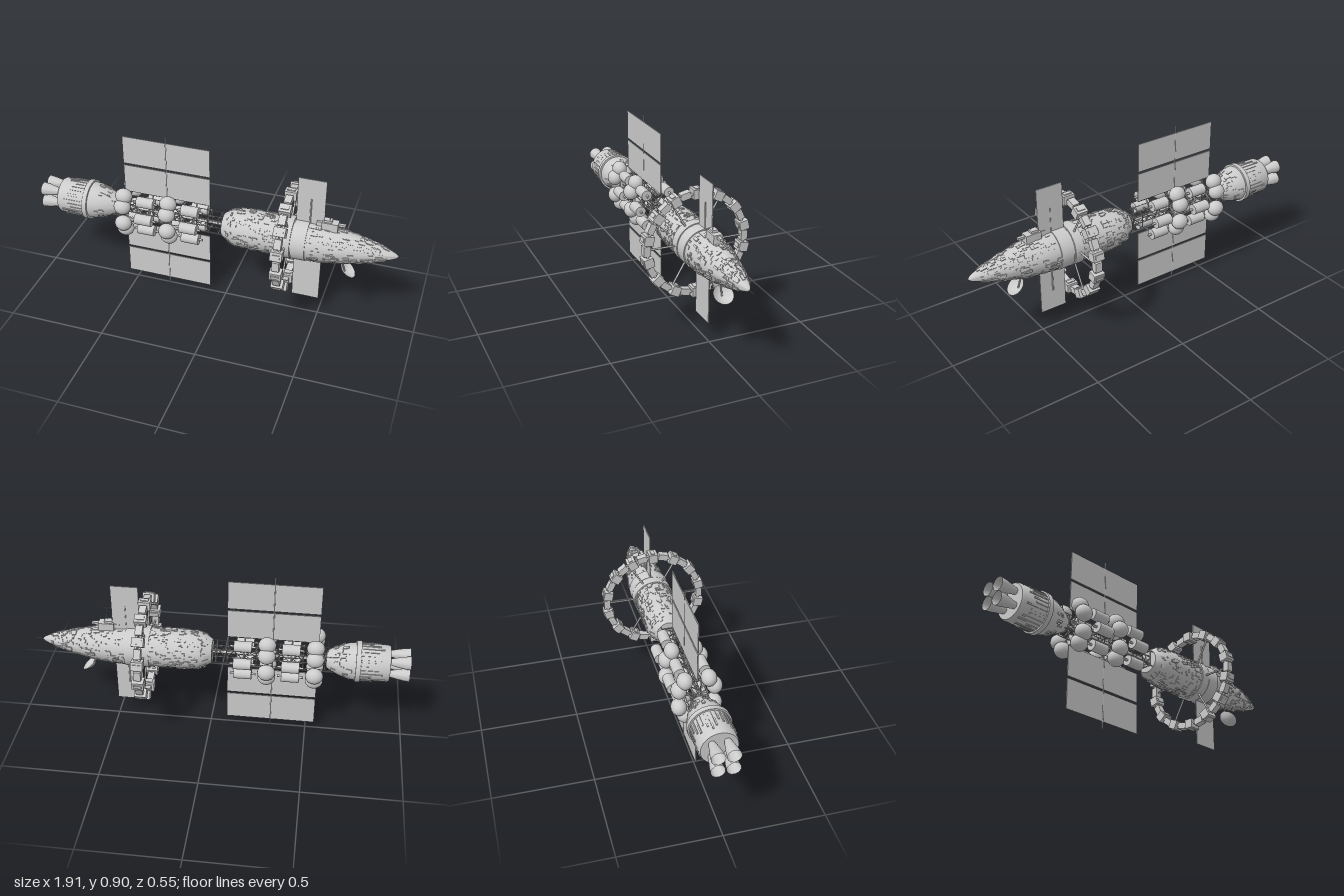
import * as THREE from 'three';
import { mergeGeometries, toCreasedNormals } from 'three/addons/utils/BufferGeometryUtils.js';

const AXIS = 0.45; // height of the ship's long axis
const TAU = Math.PI * 2;

export function createModel() {
  const grey = new THREE.MeshStandardMaterial({ color: 0xcccccc });
  grey.name = 'hull grey';
  const greyOpen = new THREE.MeshStandardMaterial({ color: 0xcccccc, side: THREE.DoubleSide });
  greyOpen.name = 'hull grey open';

  const root = new THREE.Group();
  root.name = 'spaceship';
  const ship = new THREE.Group();
  ship.name = 'shipOnAxis';
  ship.position.y = AXIS;
  root.add(ship);

  let seed = 7;
  const rand = () => (seed = (seed * 16807) % 2147483647) / 2147483647;

  const add = (name, geo, mat = grey) => {
    const m = new THREE.Mesh(geo, mat);
    m.name = name;
    ship.add(m);
    return m;
  };
  const box = (w, h, d, x, y, z) => new THREE.BoxGeometry(w, h, d).translate(x, y, z);
  const rod = (a, b, r, sides = 6) => {
    const p = new THREE.Vector3(...a), q = new THREE.Vector3(...b), d = q.clone().sub(p);
    const g = new THREE.CylinderGeometry(r, r, d.length(), sides);
    g.applyQuaternion(new THREE.Quaternion().setFromUnitVectors(new THREE.Vector3(0, 1, 0), d.normalize()));
    return g.translate(...p.add(q).multiplyScalar(0.5).toArray());
  };
  // profile of [x, radius] turned about the ship's axis, from tail to nose
  const turned = (profile, sides = 32) => toCreasedNormals(
    new THREE.LatheGeometry(profile.map(([x, r]) => new THREE.Vector2(r, x)), sides).rotateZ(-Math.PI / 2), 0.5);
  const radiusAt = (profile, x) => {
    const i = Math.max(1, profile.findIndex((p) => p[0] > x));
    const [x0, r0] = profile[i - 1], [x1, r1] = profile[i];
    return { r: r0 + (r1 - r0) * (x - x0) / (x1 - x0), slope: Math.atan2(r1 - r0, x1 - x0) };
  };
  // small plates scattered over a turned surface
  const plating = (profile, count, x0, x1) => {
    const list = [];
    for (let i = 0; i < count; i++) {
      const x = x0 + (x1 - x0) * rand();
      const { r, slope } = radiusAt(profile, x);
      const long = 0.008 + 0.026 * rand();
      const wide = Math.min(0.005 + 0.014 * rand(), r * 0.4);
      list.push(new THREE.BoxGeometry(long, 0.004 + 0.006 * rand(), wide)
        .rotateZ(slope).translate(x, r, 0).rotateX(rand() * TAU));
    }
    return mergeGeometries(list);
  };

  // forward hull
  const hull = [[-0.01, 0], [-0.01, 0.06], [0.03, 0.085], [0.07, 0.098], [0.15, 0.101], [0.42, 0.101],
    [0.5, 0.097], [0.6, 0.084], [0.7, 0.064], [0.78, 0.043], [0.84, 0.023], [0.865, 0.012], [0.878, 0]];
  add('forwardHull', turned(hull, 40));
  add('hullPlatingAft', plating(hull, 300, 0.02, 0.35));
  add('hullPlatingFore', plating(hull, 340, 0.44, 0.82));
  add('hullBand', turned([[0.36, 0.09], [0.36, 0.106], [0.43, 0.106], [0.43, 0.09]], 40));
  add('hubBand', turned([[0.305, 0.09], [0.305, 0.108], [0.355, 0.108], [0.355, 0.09]], 40));
  add('noseSpike', rod([0.86, 0, 0], [0.915, 0, 0], 0.0015));

  // habitat ring with alternating modules
  const modules = [], links = [];
  for (let i = 0; i < 28; i++) {
    const a = (i / 28) * TAU;
    const g = i % 2 ? new THREE.BoxGeometry(0.036, 0.033, 0.05) : new THREE.BoxGeometry(0.06, 0.047, 0.046);
    modules.push(g.translate(0.33, 0.252, 0).rotateX(a));
    if (i % 2 === 0) modules.push(box(0.04, 0.056, 0.02, 0.33, 0.252, 0).rotateX(a));
  }
  add('ringModules', mergeGeometries(modules));
  for (const x of [0.32, 0.34])
    links.push(new THREE.TorusGeometry(0.25, 0.008, 6, 56).rotateY(Math.PI / 2).translate(x, 0, 0));
  add('ringTube', mergeGeometries(links));
  const spokes = [];
  for (let i = 0; i < 6; i++)
    spokes.push(rod([0.33, 0.09, 0], [0.33, 0.25, 0], 0.005, 8).rotateX(Math.PI / 6 + i * TAU / 6));
  add('ringSpokes', mergeGeometries(spokes));

  // radiators above and below the hull
  for (const s of [1, -1]) {
    add('radiator', box(0.14, 0.27, 0.005, 0.43, s * 0.215, -s * 0.005));
    add('radiatorMast', rod([0.43, s * 0.09, -s * 0.002], [0.43, s * 0.24, -s * 0.002], 0.004));
  }

  // sensor house and whip aerials
  add('sensorHouse', mergeGeometries([
    box(0.08, 0.045, 0.046, 0.532, 0.11, 0), box(0.04, 0.012, 0.03, 0.52, 0.138, 0),
    box(0.035, 0.012, 0.016, 0.59, 0.122, 0), box(0.03, 0.03, 0.02, 0.48, 0.11, 0)]));
  add('whipAerials', mergeGeometries([
    rod([0.43, 0.1, -0.007], [0.43, 0.235, -0.007], 0.002), rod([0.53, 0.1, 0.008], [0.53, 0.21, 0.008], 0.0015),
    rod([0.5, 0.1, -0.008], [0.5, 0.18, -0.008], 0.0015)]));

  // dish under the nose, opening forward and up
  const bowl = [0, 0.25, 0.5, 0.75, 1].map((t) => new THREE.Vector2(0.05 * t, 0.024 * (t * t - 1)));
  const dish = add('dish', new THREE.LatheGeometry(bowl, 28), greyOpen);
  dish.position.set(0.637, -0.132, 0);
  dish.rotation.z = -0.71;
  add('dishStrut', rod([0.6, -0.075, 0], [0.622, -0.148, 0], 0.004));

  // lattice truss
  const truss = [];
  const corners = [[1, 1], [1, -1], [-1, -1], [-1, 1]];
  corners.forEach(([y, z], k) => {
    const [y2, z2] = corners[(k + 1) % 4];
    truss.push(rod([-0.61, y * 0.02, z * 0.02], [0, y * 0.02, z * 0.02], 0.003, 5));
    truss.push(rod([-0.61, y * 0.04, z * 0.04], [0, y * 0.04, z * 0.04], 0.002, 5));
    for (let i = 0; i < 15; i++) {
      const x = -0.6 + i * 0.04, f = i % 2 ? -1 : 1;
      const a = [y * 0.02, z * 0.02], b = [y2 * 0.02, z2 * 0.02];
      truss.push(rod([x, ...(f > 0 ? a : b)], [x + 0.04, ...(f > 0 ? b : a)], 0.002, 4));
    }
    for (const x of [-0.58, -0.47, -0.35, -0.235, -0.085, -0.03])
      truss.push(rod([x, y * 0.04, z * 0.04], [x, y2 * 0.04, z2 * 0.04], 0.003, 5));
  });
  truss.push(rod([-0.61, 0, 0], [0, 0, 0], 0.01, 8));
  add('truss', mergeGeometries(truss));

  // round and cylindrical tanks clustered about the truss
  const balls = [], drums = [], struts = [];
  for (const x of [-0.53, -0.29])
    for (const [y, z] of [[0.098, 0.058], [0.05, 0.086]])
      for (const sy of [1, -1]) for (const sz of [1, -1]) {
        balls.push(new THREE.SphereGeometry(1, 20, 14).scale(0.045, 0.041, 0.038).translate(x, sy * y, sz * z));
        struts.push(rod([x, 0, 0], [x, sy * y, sz * z], 0.004, 5));
      }
  for (const x of [-0.41, -0.17])
    for (const [y, z] of [[0.082, 0.062], [0, 0.096], [-0.082, 0.062]])
      for (const sz of [1, -1]) {
        drums.push(new THREE.CylinderGeometry(0.028, 0.028, 0.09, 20).rotateZ(Math.PI / 2).translate(x, y, sz * z));
        struts.push(rod([x, 0, 0], [x, y, sz * z], 0.004, 5));
        struts.push(rod([x - 0.065, y, sz * z], [x + 0.065, y, sz * z], 0.006, 6));
      }
  add('roundTanks', mergeGeometries(balls));
  add('drumTanks', mergeGeometries(drums));
  add('tankStruts', mergeGeometries(struts));

  // solar panels on a vertical mast
  for (const s of [1, -1])
    for (const [lo, hi] of [[0.095, 0.251], [0.262, 0.415]])
      add('solarPanel', box(0.46, hi - lo, 0.005, -0.315, s * (lo + hi) / 2, 0));
  add('solarMast', rod([-0.315, -0.45, 0], [-0.315, 0.45, 0], 0.004));

  // engine section with ribs and collar
  const engine = [[-0.9, 0], [-0.9, 0.088], [-0.89, 0.093], [-0.74, 0.096], [-0.7, 0.092], [-0.65, 0.076],
    [-0.61, 0.058], [-0.585, 0.042], [-0.585, 0]];
  add('engineBody', turned(engine, 36));
  add('engineCollar', turned([[-0.755, 0.085], [-0.755, 0.105], [-0.73, 0.105], [-0.73, 0.085]], 36));
  const ribs = [];
  for (let i = 0; i < 30; i++) {
    const long = 0.05 + 0.08 * rand();
    ribs.push(box(long, 0.008, 0.008, -0.755 - long / 2, 0.094, 0).rotateX(i / 30 * TAU));
  }
  add('engineRibs', mergeGeometries(ribs));
  add('enginePlating', plating(engine, 40, -0.7, -0.62));
  add('engineAerial', rod([-0.59, 0.03, 0], [-0.59, 0.105, 0], 0.002));

  // four bell nozzles
  const bell = [[-1, 0.034], [-0.97, 0.031], [-0.93, 0.023], [-0.89, 0.014]];
  for (const sy of [1, -1]) for (const sz of [1, -1])
    add('nozzle', turned(bell, 20).translate(0, sy * 0.036, sz * 0.036), greyOpen);

  return root;
}
